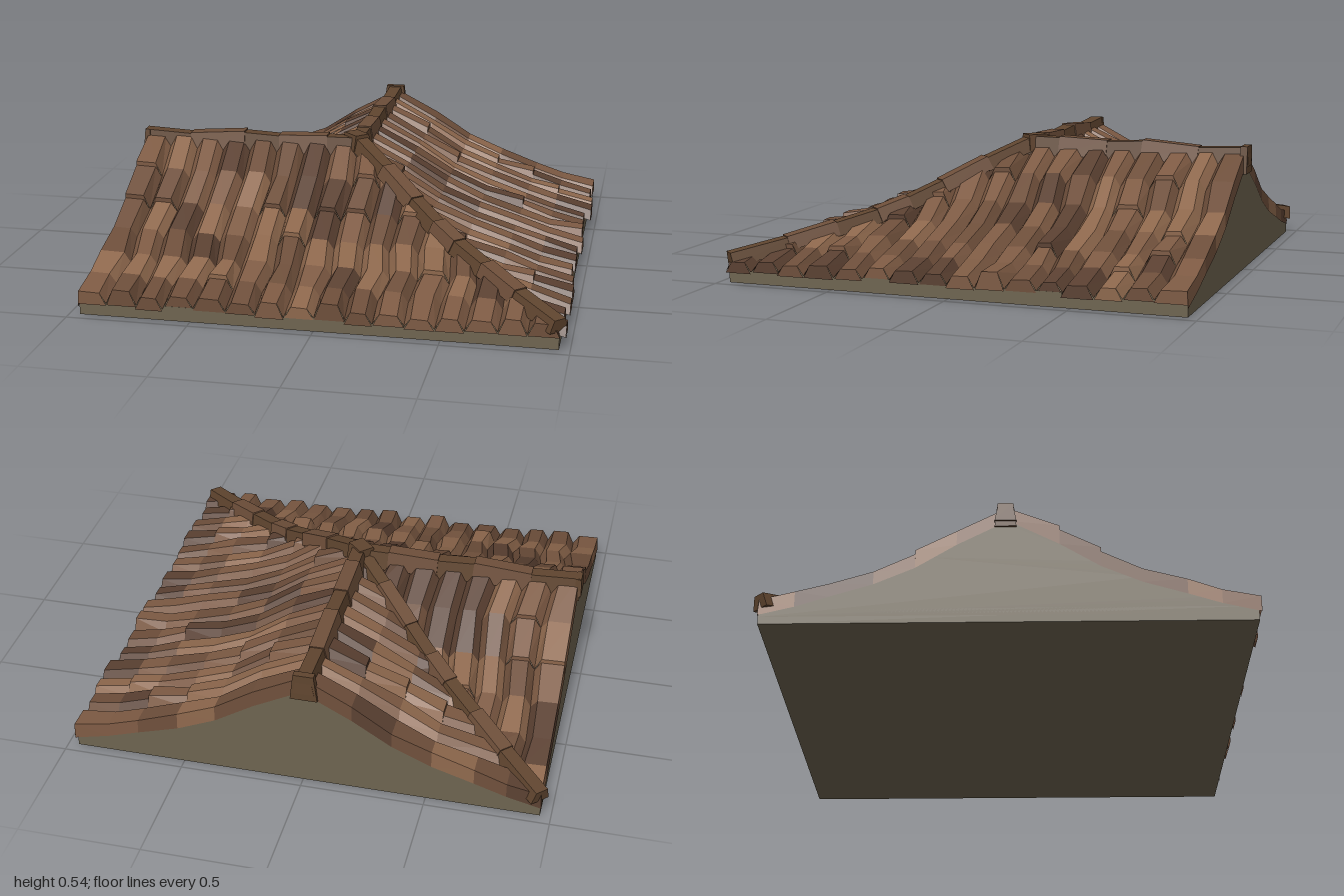
import * as THREE from 'three';

const mat = (color) => new THREE.MeshStandardMaterial({ color, flatShading: true, side: THREE.DoubleSide });
const TILE_COLORS = [0x7d5a43, 0x8d674c, 0x6d4e3a, 0x5a4031];
const BEAM_COLORS = [0x60452f, 0x6e4f3a];
const EDGE = 0.957;

// Sagging slope: height against distance from the ridge
const ROWS = [0, 0.2, 0.36, 0.52, 0.69, 0.82, 0.97];
const HEIGHTS = [0.465, 0.36, 0.26, 0.19, 0.138, 0.096, 0.06];
function slope(v) {
  let i = 0;
  while (i < ROWS.length - 2 && v > ROWS[i + 1]) i++;
  const t = (v - ROWS[i]) / (ROWS[i + 1] - ROWS[i]);
  return HEIGHTS[i] + (HEIGHTS[i + 1] - HEIGHTS[i]) * t;
}

function seeded(seed) {
  return () => {
    seed = (seed * 16807) % 2147483647;
    return seed / 2147483647;
  };
}

// One slope of raised tile columns, cut along the diagonal hip or valley
function tileSlope(name, { inner, swap, seed }) {
  const rnd = seeded(seed);
  const jitter = (s) => (rnd() - 0.5) * 2 * s;
  const group = new THREE.Group();
  group.name = name;
  const cols = inner ? 8 : 16;
  const width = (2 * 0.96) / 16;
  const batches = TILE_COLORS.map(() => []);
  const place = (u, y, v) => {
    const w = inner ? -v : v;
    return swap ? [w, y, u] : [u, y, w];
  };
  const flip = inner !== swap;
  const quad = (out, a, b, c, d) => {
    const tris = flip ? [a, c, b, a, d, c] : [a, b, c, a, c, d];
    tris.forEach((p) => out.push(...p));
  };

  // Sideways wander of each column boundary, row by row
  const sway = ROWS.map(() => jitter(0.012));
  const bounds = Array.from({ length: cols + 1 }, (_, c) =>
    ROWS.map((_, r) => -0.96 + c * width + (c === 0 || c === cols ? 0 : sway[r] + jitter(0.008))));

  for (let c = 0; c < cols; c++) {
    const lift = ROWS.map(() => 0.038 + jitter(0.006));
    const eave = 0.97 + jitter(0.014);
    const section = (r, extra) => {
      const u0 = bounds[c][r], u1 = bounds[c + 1][r];
      const left = c === 0 ? 0.004 : 0.027;
      const us = [u0, u0 + left, u1 - 0.027, u1];
      const ys = [c === 0 ? -0.025 : -0.004, lift[r] + extra, lift[r] + extra - 0.003, -0.004];
      const row = r === ROWS.length - 1 ? eave : ROWS[r];
      return us.map((u, i) => {
        const v = inner ? Math.min(row, Math.abs(u)) : Math.max(row, u);
        return { v, p: place(u, slope(v) + ys[i], v), low: place(u, slope(v) - 0.012, v) };
      });
    };
    for (let r = 0; r < ROWS.length - 1; r++) {
      const last = r === ROWS.length - 2;
      const raised = rnd() < 0.14;
      const out = batches[Math.floor(rnd() * 3.6)];
      const a = section(r, 0), b = section(r + 1, raised ? 0.018 : 0);
      if (a.every((q, i) => Math.abs(q.v - b[i].v) < 1e-5)) continue;
      for (let i = 0; i < 3; i++) quad(out, a[i].p, b[i].p, b[i + 1].p, a[i + 1].p);
      if (raised || last) quad(out, b[0].low, b[3].low, b[2].p, b[1].p);
    }
  }
  batches.forEach((positions, i) => {
    if (!positions.length) return;
    const geo = new THREE.BufferGeometry();
    geo.setAttribute('position', new THREE.Float32BufferAttribute(positions, 3));
    geo.computeVertexNormals();
    const mesh = new THREE.Mesh(geo, mat(TILE_COLORS[i]));
    mesh.name = `${name}Shade${i + 1}`;
    group.add(mesh);
  });
  return group;
}

// Box whose upper face is narrower than its lower one
function taperedBox(w, h, d, taper = 0.65) {
  const geo = new THREE.BoxGeometry(w, h, d);
  const p = geo.attributes.position;
  for (let i = 0; i < p.count; i++) if (p.getY(i) > 0) p.setX(i, p.getX(i) * taper);
  return geo;
}

// Row of capping pieces following a list of points
function capping(name, points, width, height) {
  const group = new THREE.Group();
  group.name = name;
  for (let i = 0; i < points.length - 1; i++) {
    const a = new THREE.Vector3(...points[i]), b = new THREE.Vector3(...points[i + 1]);
    const odd = i % 2;
    const geo = taperedBox(width + odd * 0.008, height, a.distanceTo(b) + 0.015);
    const mesh = new THREE.Mesh(geo, mat(BEAM_COLORS[odd]));
    mesh.name = `${name}Piece${i + 1}`;
    mesh.position.copy(a).add(b).multiplyScalar(0.5);
    mesh.position.y += odd * 0.006;
    mesh.lookAt(b.x, b.y + odd * 0.006, b.z);
    group.add(mesh);
  }
  return group;
}

function block(name, w, h, d, x, y, z, turn = 0) {
  const mesh = new THREE.Mesh(taperedBox(w, h, d, 0.75), mat(BEAM_COLORS[0]));
  mesh.name = name;
  mesh.position.set(x, y, z);
  mesh.rotation.y = turn;
  return mesh;
}

export function createModel() {
  const model = new THREE.Group();
  model.name = 'cornerRoof';
  const baseMat = mat(0x6e6450);

  // Base slab
  const slab = new THREE.Mesh(new THREE.BoxGeometry(EDGE * 2, 0.06, EDGE * 2), baseMat);
  slab.name = 'baseSlab';
  slab.position.y = 0.03;
  model.add(slab);

  // Deck beneath the tiles
  const deckGeo = new THREE.PlaneGeometry(EDGE * 2, EDGE * 2, 40, 40).rotateX(-Math.PI / 2);
  const p = deckGeo.attributes.position;
  for (let i = 0; i < p.count; i++) {
    const x = p.getX(i), z = p.getZ(i);
    const d = x < 0 && z < 0 ? Math.min(-x, -z) : Math.max(x, z);
    p.setY(i, slope(d) - 0.012);
  }
  const deck = new THREE.Mesh(deckGeo, baseMat);
  deck.name = 'roofDeck';
  model.add(deck);

  // Gable walls closing the two wings
  const outline = new THREE.Shape();
  outline.moveTo(-EDGE, 0.03);
  outline.lineTo(EDGE, 0.03);
  for (let i = 24; i >= -24; i--) {
    const x = (i / 24) * EDGE;
    outline.lineTo(x, slope(Math.abs(x)) - 0.002);
  }
  const gableGeo = new THREE.ShapeGeometry(outline);
  const backGable = new THREE.Mesh(gableGeo, baseMat);
  backGable.name = 'backGable';
  backGable.position.z = -EDGE;
  backGable.rotation.y = Math.PI;
  const sideGable = new THREE.Mesh(gableGeo, baseMat);
  sideGable.name = 'sideGable';
  sideGable.position.x = -EDGE;
  sideGable.rotation.y = -Math.PI / 2;
  model.add(backGable, sideGable);

  // Four tiled slopes
  model.add(
    tileSlope('frontTiles', { inner: false, swap: false, seed: 11 }),
    tileSlope('sideTiles', { inner: false, swap: true, seed: 57 }),
    tileSlope('innerBackTiles', { inner: true, swap: false, seed: 83 }),
    tileSlope('innerSideTiles', { inner: true, swap: true, seed: 131 }),
  );

  // Hip and valley cappings on the diagonal
  const stops = [0, 0.15, 0.29, 0.41, 0.5, 0.64, 0.78, 0.95];
  for (const [name, s] of [['hipCapping', 1], ['valleyCapping', -1]]) {
    model.add(capping(name, stops.map((t) => [s * t, slope(t) + 0.034, s * t]), 0.085, 0.056));
  }

  // Ridge cappings with a gentle wave
  const ridge = [[0, 0.485], [0.15, 0.483], [0.35, 0.475], [0.52, 0.483], [0.75, 0.465], [0.965, 0.475]];
  model.add(
    capping('sideRidge', ridge.map(([t, y]) => [-t, y, -0.01]), 0.085, 0.08),
    capping('backRidge', ridge.map(([t, y]) => [-0.012, y + 0.006, -t]), 0.085, 0.08),
    block('peakCap', 0.09, 0.07, 0.09, -0.02, 0.503, -0.02, Math.PI / 4),
    block('backRidgeEnd', 0.11, 0.115, 0.03, -0.012, 0.468, -0.957),
    block('sideRidgeEnd', 0.085, 0.1, 0.02, -0.957, 0.464, -0.01, Math.PI / 2),
  );
  return model;
}
